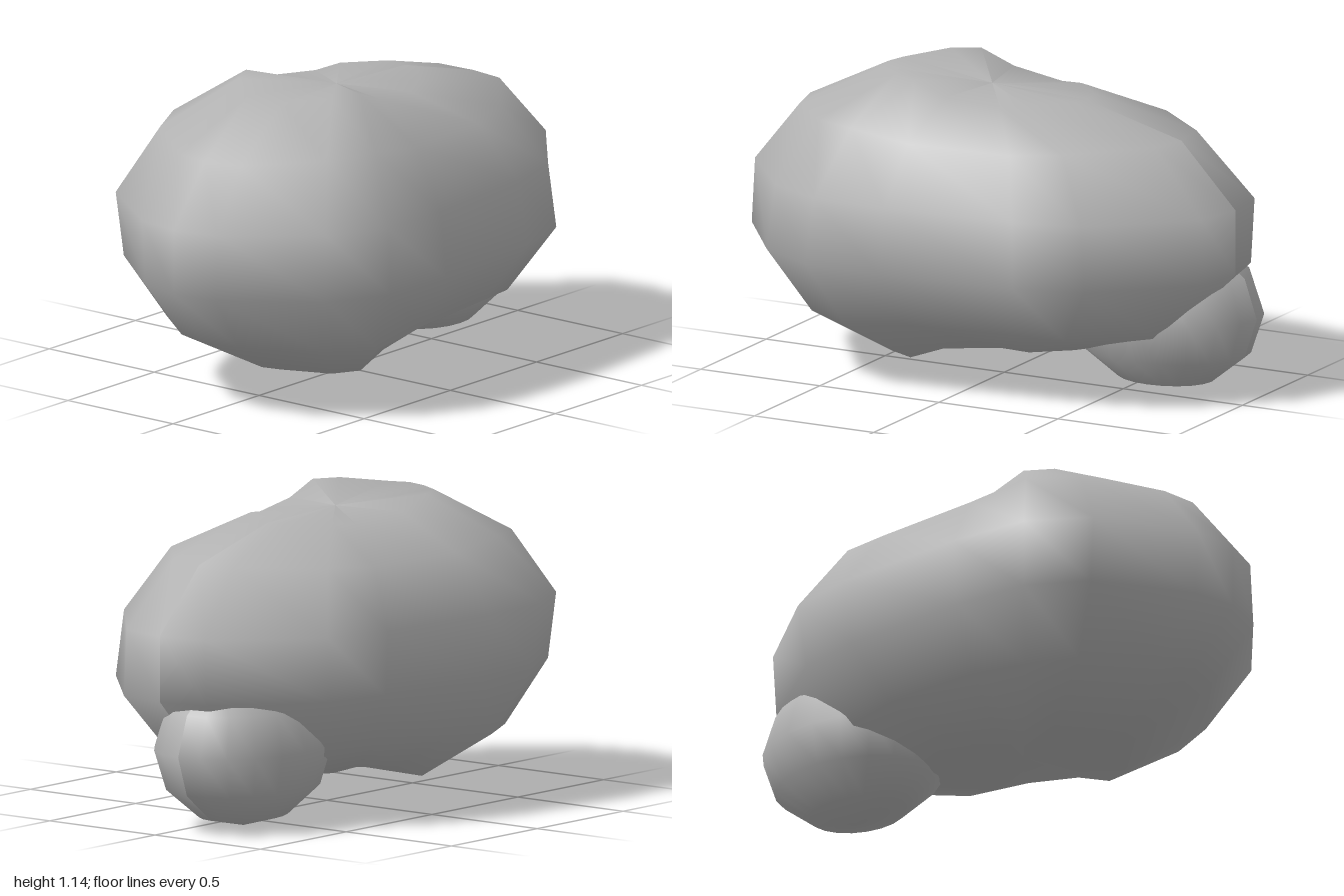
import * as THREE from 'three';

const stone = new THREE.MeshStandardMaterial({ color: 0xb2b2b2 });
stone.name = 'grey stone';

// Outline of the widest ring: [angle in degrees from +x, swelling], mirrored in z
const OUTLINE = [
  [0, 1.08], [16, 1.09], [48.6, 1.05], [65, 1.0], [98, 1.0],
  [115.6, 1.08], [132, 1.055], [164, 1.0], [180, 1.0],
];
const RADIUS = { x: 0.97, y: 0.55, z: 0.65 };
const ROWS = 7;

// Lumpy body: a sphere whose rings follow the outline, tapering to dented poles
function bodyGeometry() {
  const half = OUTLINE.length - 1;
  const columns = half * 2;
  const geometry = new THREE.SphereGeometry(1, columns, ROWS);
  const position = geometry.attributes.position;
  for (let row = 0; row <= ROWS; row++) {
    const theta = (row / ROWS) * Math.PI;
    const fromPole = Math.min(row, ROWS - row);
    const upper = row < ROWS / 2 ? 1 : -1;
    for (let col = 0; col <= columns; col++) {
      const i = row * (columns + 1) + col;
      if (fromPole === 0) {
        position.setXYZ(i, 0, upper * 0.48, 0);
        continue;
      }
      const [degrees, swelling] = OUTLINE[col <= half ? col : columns - col];
      const angle = THREE.MathUtils.degToRad(degrees);
      const c = Math.cos(angle);
      const s = Math.sin(angle) * (col <= half ? -1 : 1);
      // Rings near the poles lean to -x; the top leans back and the bottom forward
      const lean = [0, 0.95 - 0.08 * c, 0.99 - 0.02 * c, 1][fromPole];
      const scale = swelling * lean * (1 - 0.02 * s * s - 0.025 * upper * s);
      const ring = Math.sin(theta) * scale;
      const squash = fromPole === 2 ? 1 - 0.03 * s * s : 1;
      position.setXYZ(
        i,
        RADIUS.x * c * ring,
        RADIUS.y * Math.cos(theta) * (swelling * lean),
        RADIUS.z * s * ring * squash,
      );
      // Keep the upper and lower ridges level around the ring
      const level = fromPole === 3 ? RADIUS.y * Math.cos(theta) : position.getY(i);
      position.setY(i, level);
    }
  }
  geometry.computeVertexNormals();
  return geometry;
}

export function createModel() {
  const model = new THREE.Group();
  model.name = 'lumpyRock';

  const body = new THREE.Mesh(bodyGeometry(), stone);
  body.name = 'body';
  body.position.set(-0.05, 0.615, 0);
  model.add(body);

  // Small rounded lump under the left end
  const lumpGeometry = new THREE.SphereGeometry(1, 20, 6);
  lumpGeometry.rotateY(Math.PI);
  lumpGeometry.scale(0.38, 0.3, 0.295);
  lumpGeometry.computeVertexNormals();
  const lump = new THREE.Mesh(lumpGeometry, stone);
  lump.name = 'lump';
  lump.position.set(0.62, 0.3, -0.11);
  model.add(lump);

  return model;
}
